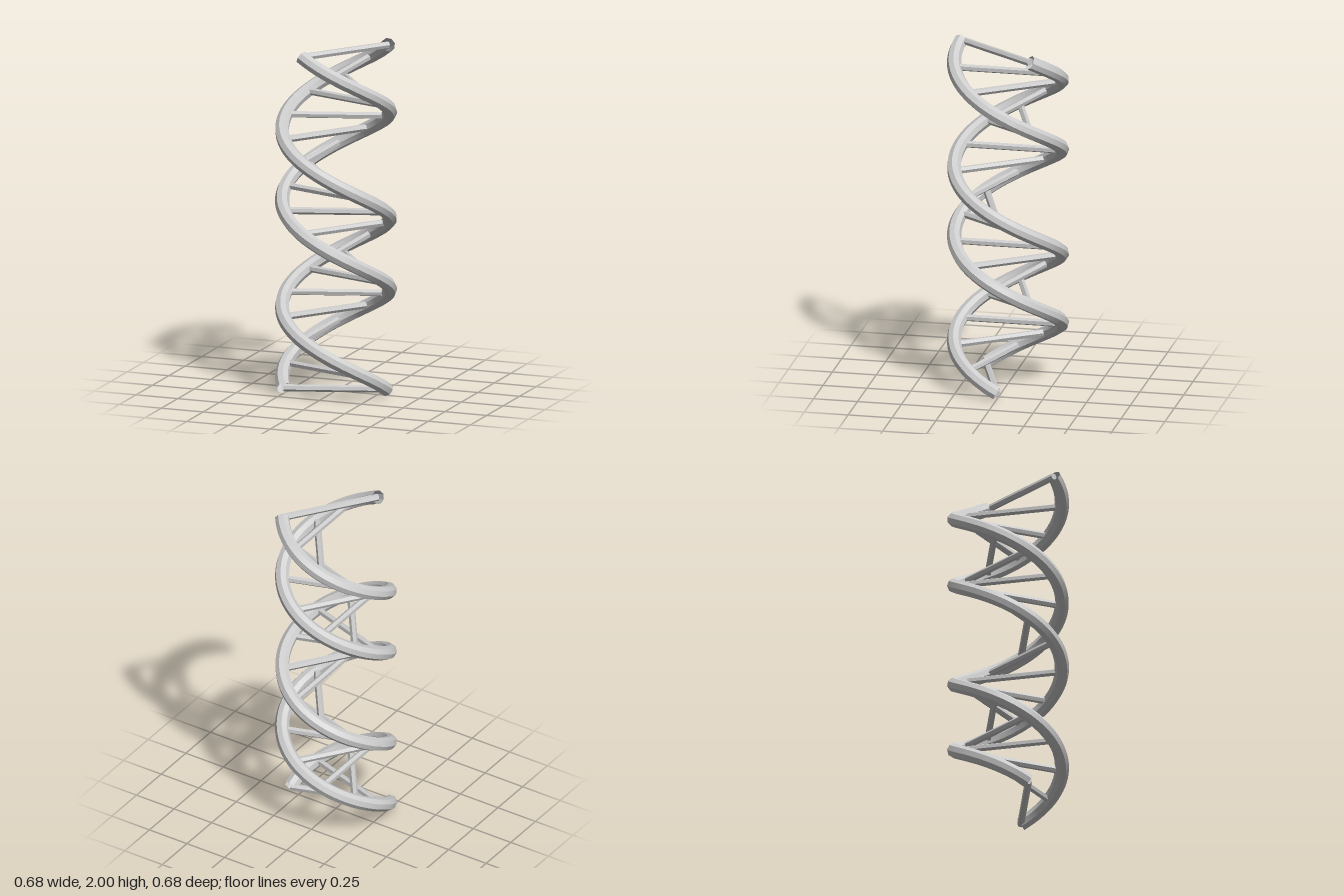
import * as THREE from 'three';

const RADIUS = 0.3, TURNS = 1.9, BOTTOM = 0.037, TOP = 1.963;
const STRAND_OFFSET = Math.PI * 0.8; // angle between the two strands
const RUNGS = 20;

// Point on a strand, t from 0 (bottom) to 1 (top)
function helixPoint(t, offset) {
  const a = t * TURNS * Math.PI * 2 + offset;
  return new THREE.Vector3(RADIUS * Math.cos(a), BOTTOM + t * (TOP - BOTTOM), RADIUS * Math.sin(a));
}

class Helix extends THREE.Curve {
  constructor(offset) {
    super();
    this.offset = offset;
  }
  getPoint(t, target = new THREE.Vector3()) {
    return target.copy(helixPoint(t, this.offset));
  }
}

export function createModel() {
  const model = new THREE.Group();
  model.name = 'doubleHelix';
  const material = new THREE.MeshStandardMaterial({ color: 0xcccccc, flatShading: true });
  const openMaterial = material.clone();
  openMaterial.side = THREE.DoubleSide;

  // Two open-ended octagonal strands
  [0, STRAND_OFFSET].forEach((offset, i) => {
    const strand = new THREE.Mesh(new THREE.TubeGeometry(new Helix(offset), 200, 0.04, 8, false), openMaterial);
    strand.name = i === 0 ? 'firstStrand' : 'secondStrand';
    model.add(strand);
  });

  // Six-sided rungs joining the strands at equal heights
  const rungs = new THREE.Group();
  rungs.name = 'rungs';
  const length = 2 * RADIUS * Math.sin(STRAND_OFFSET / 2);
  const rungGeometry = new THREE.CylinderGeometry(0.02, 0.02, length, 6);
  const up = new THREE.Vector3(0, 1, 0);
  for (let i = 0; i < RUNGS; i++) {
    const a = helixPoint(i / (RUNGS - 1), 0);
    const b = helixPoint(i / (RUNGS - 1), STRAND_OFFSET);
    const rung = new THREE.Mesh(rungGeometry, material);
    rung.name = 'rung' + (i + 1);
    rung.position.addVectors(a, b).multiplyScalar(0.5);
    rung.quaternion.setFromUnitVectors(up, b.sub(a).normalize());
    rungs.add(rung);
  }
  model.add(rungs);
  return model;
}
